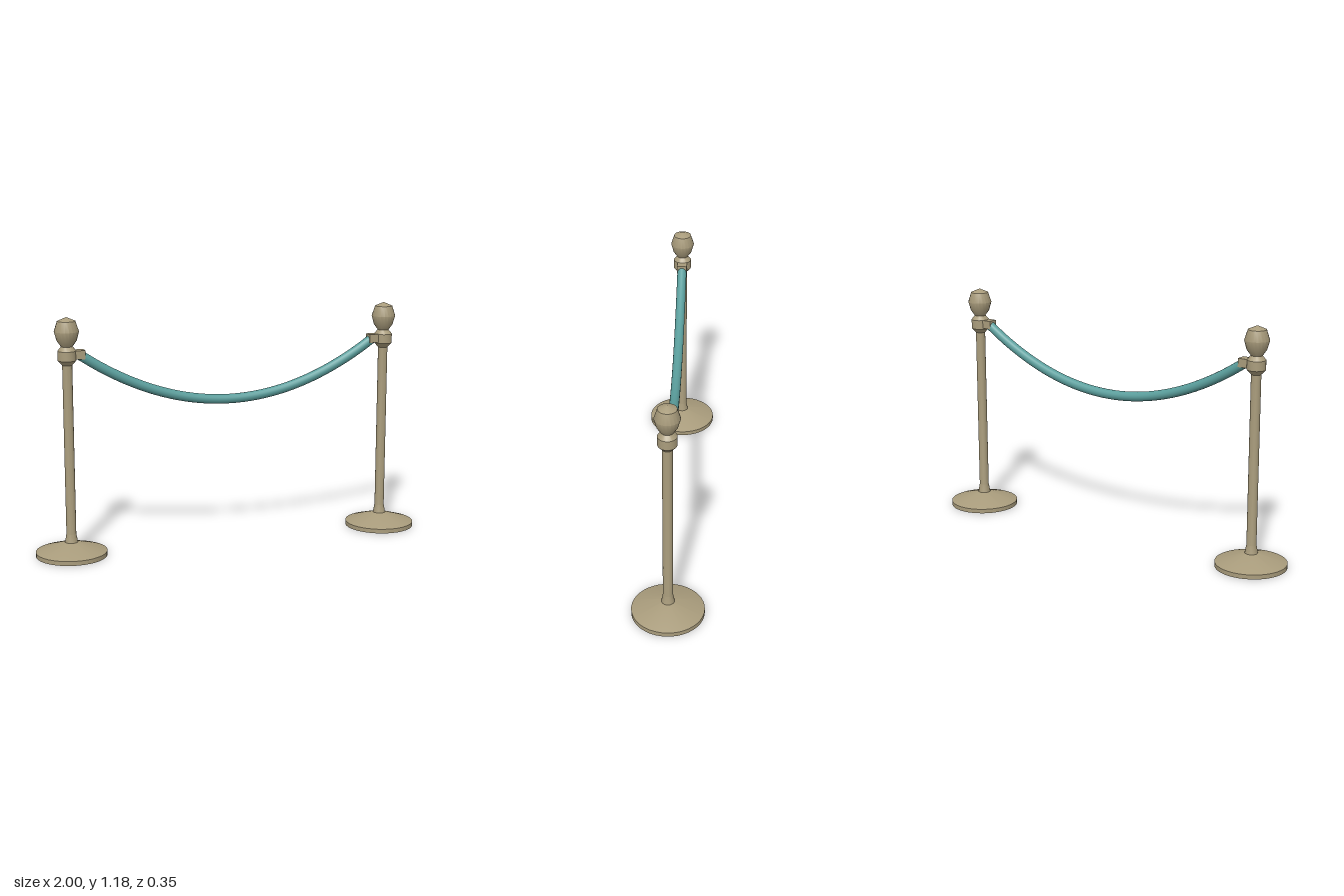
import * as THREE from 'three';
import { toCreasedNormals } from 'three/addons/utils/BufferGeometryUtils.js';

const POST_X = 0.825;

export function createModel() {
  const model = new THREE.Group();
  model.name = 'ropeBarrier';
  const metal = new THREE.MeshStandardMaterial({ color: 0xa99c7c });
  metal.name = 'warm metal';
  const cloth = new THREE.MeshStandardMaterial({ color: 0x5a9e9c });
  cloth.name = 'teal rope';

  // Turned part from [radius, height] pairs, bottom to top
  const turned = (name, profile, segments, crease = 0.45) => {
    const points = profile.map(([r, y]) => new THREE.Vector2(r, y));
    const geometry = toCreasedNormals(new THREE.LatheGeometry(points, segments), crease);
    const mesh = new THREE.Mesh(geometry, metal);
    mesh.name = name;
    return mesh;
  };

  for (const side of [-1, 1]) {
    const post = new THREE.Group();
    post.name = side > 0 ? 'leftPost' : 'rightPost';
    post.position.x = side * POST_X;

    // Weighted foot and pole with a flared bottom
    post.add(turned('base', [[0, 0], [0.175, 0], [0.175, 0.022], [0.032, 0.068], [0, 0.068]], 40));
    post.add(turned('pole', [[0.032, 0.066], [0.024, 0.11], [0.024, 0.95]], 24, 0.3));

    // Collar and faceted-profile finial
    post.add(turned('collar',
      [[0, 0.945], [0.024, 0.945], [0.045, 0.968], [0.045, 1.014], [0.027, 1.036], [0, 1.036]], 24));
    post.add(turned('finial',
      [[0.027, 1.034], [0.048, 1.064], [0.06, 1.107], [0.044, 1.157], [0, 1.176]], 20, 0.6));

    // Clip holding the rope end, on the inner side
    const clip = new THREE.Mesh(new THREE.BoxGeometry(0.055, 0.042, 0.05), metal);
    clip.name = 'ropeClip';
    clip.position.set(-side * 0.057, 0.994, 0);
    post.add(clip);
    model.add(post);
  }

  // Sagging rope along a parabola
  const points = [];
  for (let i = 0; i <= 16; i++) {
    const t = i / 8 - 1;
    points.push(new THREE.Vector3(t * 0.765, 0.729 + 0.263 * t * t, 0));
  }
  const rope = new THREE.Mesh(
    new THREE.TubeGeometry(new THREE.CatmullRomCurve3(points), 48, 0.024, 16), cloth);
  rope.name = 'rope';
  model.add(rope);

  return model;
}
